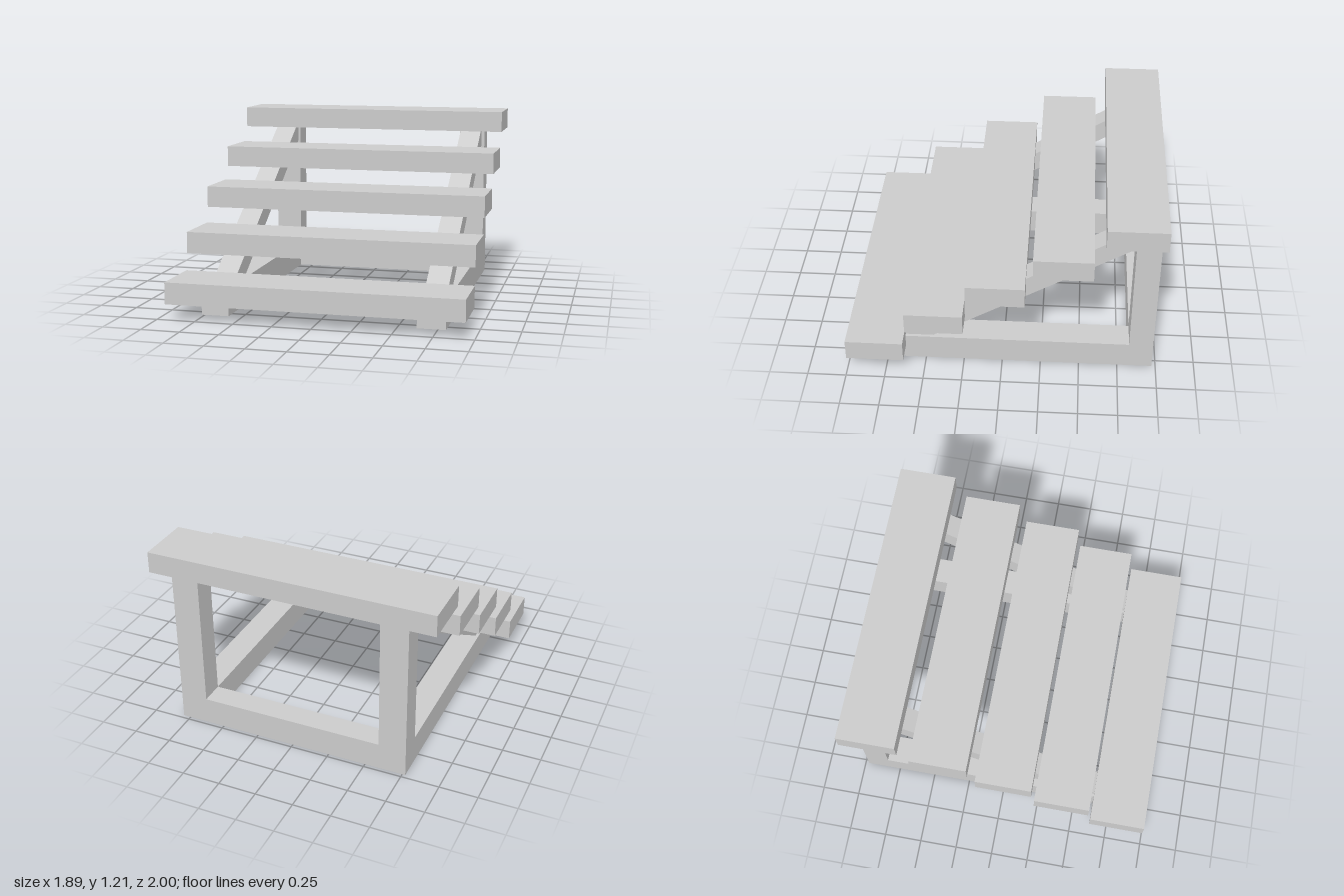
import * as THREE from 'three';

const material = new THREE.MeshStandardMaterial({ color: 0xcccccc, flatShading: true });

// Box given by its limits on each axis
function box(name, [x0, x1], [y0, y1], [z0, z1]) {
  const mesh = new THREE.Mesh(new THREE.BoxGeometry(x1 - x0, y1 - y0, z1 - z0), material);
  mesh.position.set((x0 + x1) / 2, (y0 + y1) / 2, (z0 + z1) / 2);
  mesh.name = name;
  return mesh;
}

// Sloping beam: side outline in (z, y), extruded along x
function stringer(name, x0, x1) {
  const outline = [[0.45, 0.18], [0.68, 0.18], [-0.78, 1.07], [-0.82, 1.07], [-0.82, 0.955]];
  const shape = new THREE.Shape(outline.map(([z, y]) => new THREE.Vector2(z, y)));
  const geometry = new THREE.ExtrudeGeometry(shape, { depth: x1 - x0, bevelEnabled: false });
  geometry.rotateY(-Math.PI / 2);
  const mesh = new THREE.Mesh(geometry, material);
  mesh.position.x = x1;
  mesh.name = name;
  return mesh;
}

export function createModel() {
  const model = new THREE.Group();
  model.name = 'stairs';

  // Frame: rail, post and stringer on each side
  const sides = [
    { side: 'right', frame: [-0.77, -0.59], beam: [-0.75, -0.605] },
    { side: 'left', frame: [0.62, 0.8], beam: [0.635, 0.78] },
  ];
  for (const { side, frame, beam } of sides) {
    model.add(
      box(`${side}BaseRail`, frame, [0, 0.18], [-0.975, 0.82]),
      box(`${side}RearPost`, frame, [0.18, 1.07], [-0.975, -0.82]),
      stringer(`${side}Stringer`, ...beam),
    );
  }
  model.add(box('rearCrossbar', [-0.59, 0.62], [0, 0.18], [-0.975, -0.82]));

  // Treads: front edge and underside of each
  const treads = [[1, 0.1], [0.61, 0.35], [0.22, 0.595], [-0.197, 0.825], [-0.63, 1.07]];
  treads.forEach(([z, y], i) => {
    model.add(box(`tread${i + 1}`, [-0.945, 0.945], [y, y + 0.14], [z - 0.37, z]));
  });

  return model;
}
